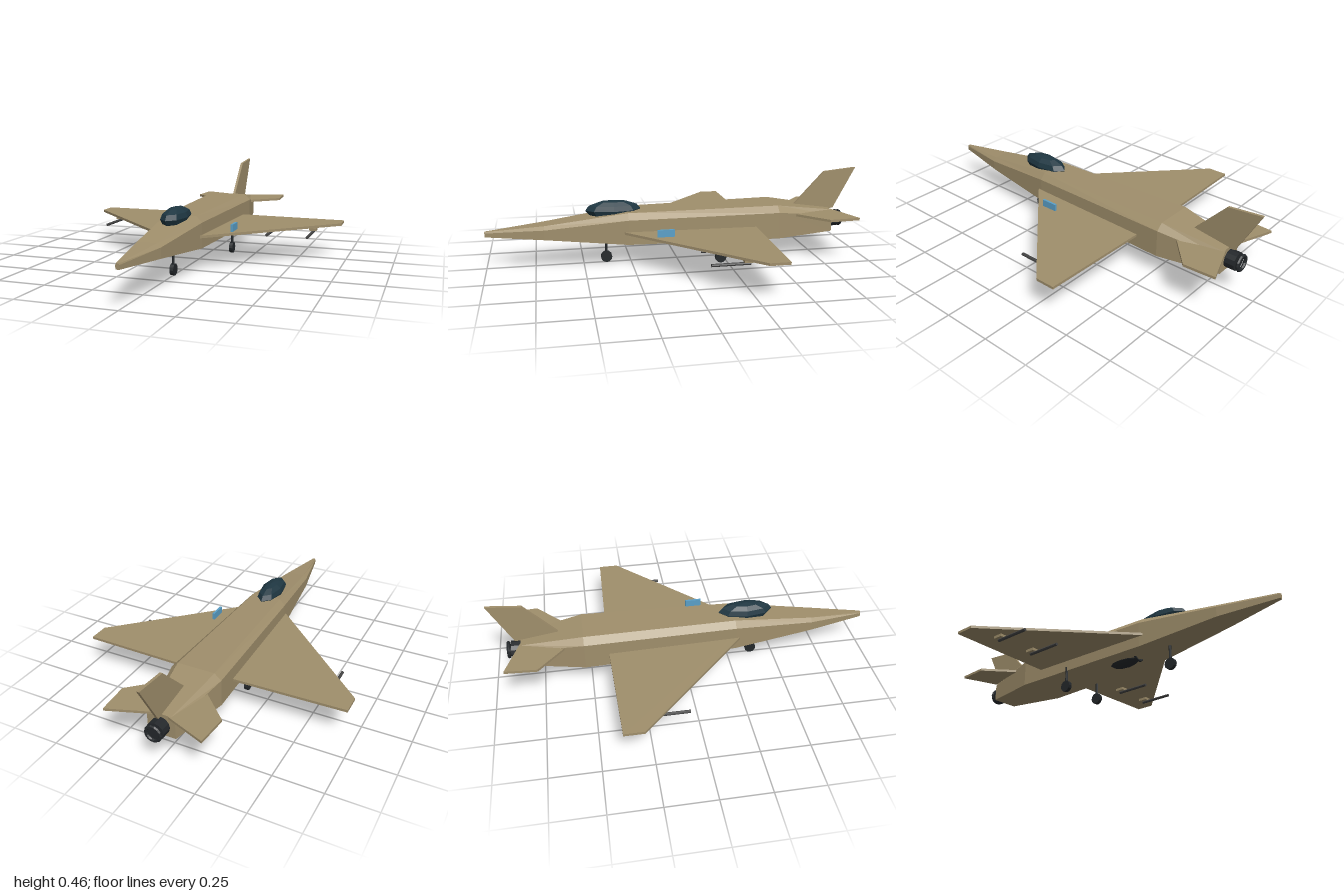
import * as THREE from 'three';

const mat = (color) => new THREE.MeshStandardMaterial({ color, flatShading: true });
const TAN = mat(0xa08f6c), DARK = mat(0x24282b), GLASS = mat(0x1f3742), STEEL = mat(0x444444), BLUE = mat(0x5aa0c8);

export function createModel() {
  const model = new THREE.Group();
  const add = (name, geometry, material, x = 0, y = 0, z = 0) => {
    const mesh = new THREE.Mesh(geometry, material);
    mesh.name = name;
    mesh.position.set(x, y, z);
    model.add(mesh);
    return mesh;
  };
  const extrude = (points, depth) => new THREE.ExtrudeGeometry(
    new THREE.Shape(points.map(([a, b]) => new THREE.Vector2(a, b))), { depth, bevelEnabled: false });

  // Fuselage: six-sided sections [z, bottom, shoulder, top, half width, half width of top]
  const sections = [
    [-0.85, 0.125, 0.215, 0.242, 0.073, 0.055],
    [-0.53, 0.117, 0.258, 0.29, 0.135, 0.1],
    [0.27, 0.12, 0.25, 0.282, 0.11, 0.08],
    [0.7, 0.157, 0.208, 0.226, 0.067, 0.048],
    [1, 0.172, 0.192, 0.199, 0.009, 0.006],
  ];
  const pos = [], idx = [], n = 6;
  for (const [z, b, s, t, w, tw] of sections)
    pos.push(w, b, z, w, s, z, tw, t, z, -tw, t, z, -w, s, z, -w, b, z);
  for (let i = 0; i < sections.length - 1; i++)
    for (let j = 0; j < n; j++) {
      const a = i * n + j, b = i * n + (j + 1) % n;
      idx.push(a, b, b + n, a, b + n, a + n);
    }
  const last = (sections.length - 1) * n;
  for (let j = 1; j < n - 1; j++)
    idx.push(0, j + 1, j, last, last + j, last + j + 1);
  const body = new THREE.BufferGeometry();
  body.setAttribute('position', new THREE.Float32BufferAttribute(pos, 3));
  body.setIndex(idx);
  const hull = body.toNonIndexed();
  hull.computeVertexNormals();
  add('fuselage', hull, TAN);

  // Wings and tailplanes: flat plates drawn in x and z, mirrored
  const plate = (name, points, top, thickness, side) =>
    add(name, extrude(points.map(([x, z]) => [x * side, z]), thickness).rotateX(Math.PI / 2), TAN, 0, top, 0);
  for (const side of [1, -1]) {
    const label = side > 0 ? 'left' : 'right';
    plate(label + 'Wing', [[0.05, 0.3], [0.1, 0.3], [0.715, -0.29], [0.715, -0.392], [0.05, -0.407]], 0.188, 0.013, side);
    plate(label + 'Tailplane', [[0.04, -0.62], [0.105, -0.62], [0.262, -0.765], [0.252, -0.93], [0.04, -0.853]], 0.242, 0.013, side);

    // Pylons and slim stores under each wing
    for (const x of [0.358, 0.573]) {
      add(label + 'Pylon', new THREE.BoxGeometry(0.038, 0.014, 0.05), TAN, side * x, 0.159, -0.235);
      add(label + 'Store', new THREE.CylinderGeometry(0.008, 0.008, 0.19, 8).rotateX(Math.PI / 2), STEEL, side * x, 0.144, -0.15);
    }
  }

  // Tail fin, drawn in z and y
  const fin = [[-0.65, 0.265], [-0.82, 0.445], [-1, 0.462], [-0.88, 0.238], [-0.8, 0.235]];
  add('tailFin', extrude(fin, 0.014).rotateY(-Math.PI / 2), TAN, 0.007, 0, 0);

  // Engine nozzle: open tube, inner disc and rear ring
  add('nozzle', new THREE.CylinderGeometry(0.046, 0.046, 0.06, 12).rotateX(Math.PI / 2), DARK, 0, 0.18, -0.873);
  add('nozzleRing', new THREE.TorusGeometry(0.037, 0.009, 6, 14), DARK, 0, 0.18, -0.918);

  // Canopy and belly intake
  add('canopy', new THREE.SphereGeometry(1, 8, 6).scale(0.06, 0.05, 0.145), GLASS, 0, 0.286, 0.34);
  add('bellyIntake', new THREE.SphereGeometry(1, 10, 8).scale(0.048, 0.035, 0.095), DARK, 0, 0.13, 0.09);
  add('intakeLip', new THREE.TorusGeometry(0.035, 0.007, 6, 14), DARK, 0, 0.142, 0.18);

  // Upright panel on the left wing
  add('wingPanel', new THREE.BoxGeometry(0.012, 0.038, 0.087), BLUE, 0.224, 0.206, 0.097);

  // Landing gear
  for (const [name, x, z] of [['noseGear', 0, 0.38], ['leftGear', 0.121, -0.215], ['rightGear', -0.121, -0.215]]) {
    add(name + 'Strut', new THREE.CylinderGeometry(0.007, 0.007, 0.11, 8), DARK, x, 0.085, z);
    add(name + 'Wheel', new THREE.CylinderGeometry(0.03, 0.03, 0.02, 12).rotateZ(Math.PI / 2), DARK, x, 0.03, z);
  }
  return model;
}
